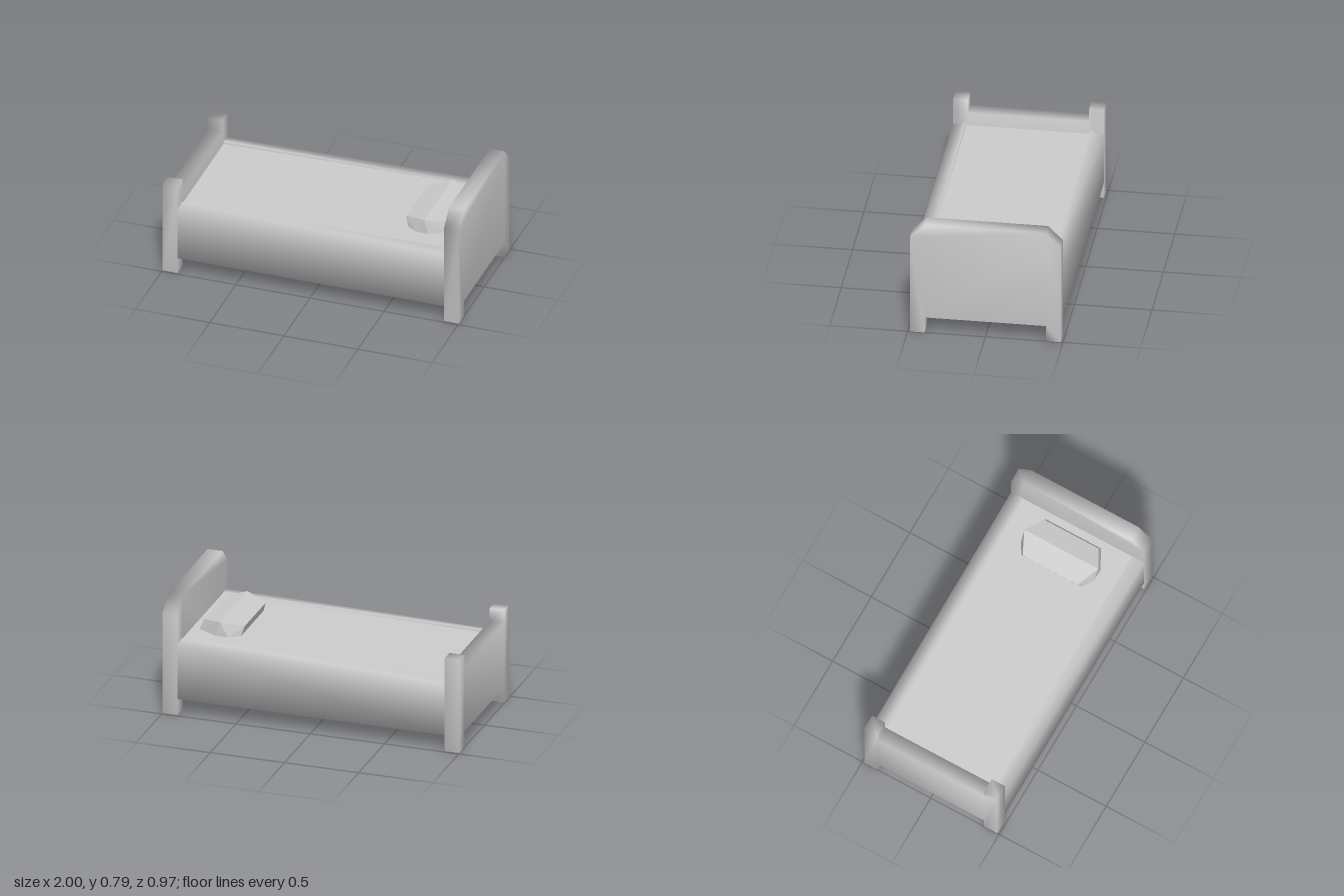
import * as THREE from 'three';
import { mergeVertices } from 'three/addons/utils/BufferGeometryUtils.js';
import { ConvexGeometry } from 'three/addons/geometries/ConvexGeometry.js';

const HALF = 0.485, POST = 0.39, UNDER = 0.11;

// Share vertices so the shading rolls softly around the edges
function soften(geometry) {
  geometry.deleteAttribute('normal');
  geometry.deleteAttribute('uv');
  const merged = mergeVertices(geometry, 1e-4);
  merged.computeVertexNormals();
  return merged;
}

// End board: half outline [z, y] mirrored, extruded along x
function board(half, x) {
  const mirrored = half.map(([z, y]) => [-z, y]).reverse();
  const shape = new THREE.Shape([...half, ...mirrored].map(([z, y]) => new THREE.Vector2(z, y)));
  const geometry = new THREE.ExtrudeGeometry(shape, { depth: 0.1, bevelEnabled: false });
  geometry.rotateY(Math.PI / 2).translate(x, 0, 0);
  return soften(geometry);
}

// Strip between the foot and the head; section points are [z, yFoot, yHead]
function strip(section) {
  const positions = [], index = [];
  section.forEach(([z, yFoot, yHead], i) => {
    positions.push(-0.9, yFoot, z, 0.9, yHead, z);
    const a = 2 * i;
    if (i < section.length - 1) index.push(a, a + 2, a + 3, a, a + 3, a + 1);
  });
  const geometry = new THREE.BufferGeometry();
  geometry.setAttribute('position', new THREE.Float32BufferAttribute(positions, 3));
  geometry.setIndex(index);
  geometry.computeVertexNormals();
  return geometry;
}

export function createModel() {
  const bed = new THREE.Group();
  bed.name = 'bed';
  const smooth = new THREE.MeshStandardMaterial({ color: 0xcccccc, side: THREE.DoubleSide });
  const faceted = new THREE.MeshStandardMaterial({ color: 0xcccccc, flatShading: true });
  const add = (name, geometry, material = smooth) => {
    const mesh = new THREE.Mesh(geometry, material);
    mesh.name = name;
    bed.add(mesh);
  };

  // Tall headboard with clipped corners and two legs
  add('headboard', board(
    [[POST, UNDER], [POST, 0], [HALF, 0], [HALF, 0.69], [POST, 0.785]], 0.9));

  // Footboard: two posts with a lower panel between them
  add('footboard', board(
    [[POST, UNDER], [POST, 0], [HALF, 0], [HALF, 0.64], [POST, 0.64], [POST, 0.55]], -1));

  // Side rails and underside in one wrap
  const rail = [[0.4, 0.46, 0.49], [0.4, 0.48, 0.495], [HALF, 0.46, 0.49], [HALF, UNDER, UNDER]];
  add('sideRails', strip([...rail, ...rail.map(([z, a, b]) => [-z, a, b]).reverse()]));

  // Mattress top, rising slightly towards the head
  add('mattress', strip([[-0.4, 0.46, 0.49], [0.4, 0.46, 0.49]]));

  // Faceted pillow, leaning towards the headboard
  const corners = [
    [0.545, 0.55, 0.2], [0.69, 0.585, 0.27], [0.82, 0.56, 0.2],
    [0.565, 0.485, 0.22], [0.635, 0.485, 0.265], [0.72, 0.485, 0.27], [0.852, 0.485, 0.2],
  ];
  add('pillow', new ConvexGeometry(corners.flatMap(([x, y, z]) =>
    [new THREE.Vector3(x, y, z), new THREE.Vector3(x, y, -z)])), faceted);

  return bed;
}
